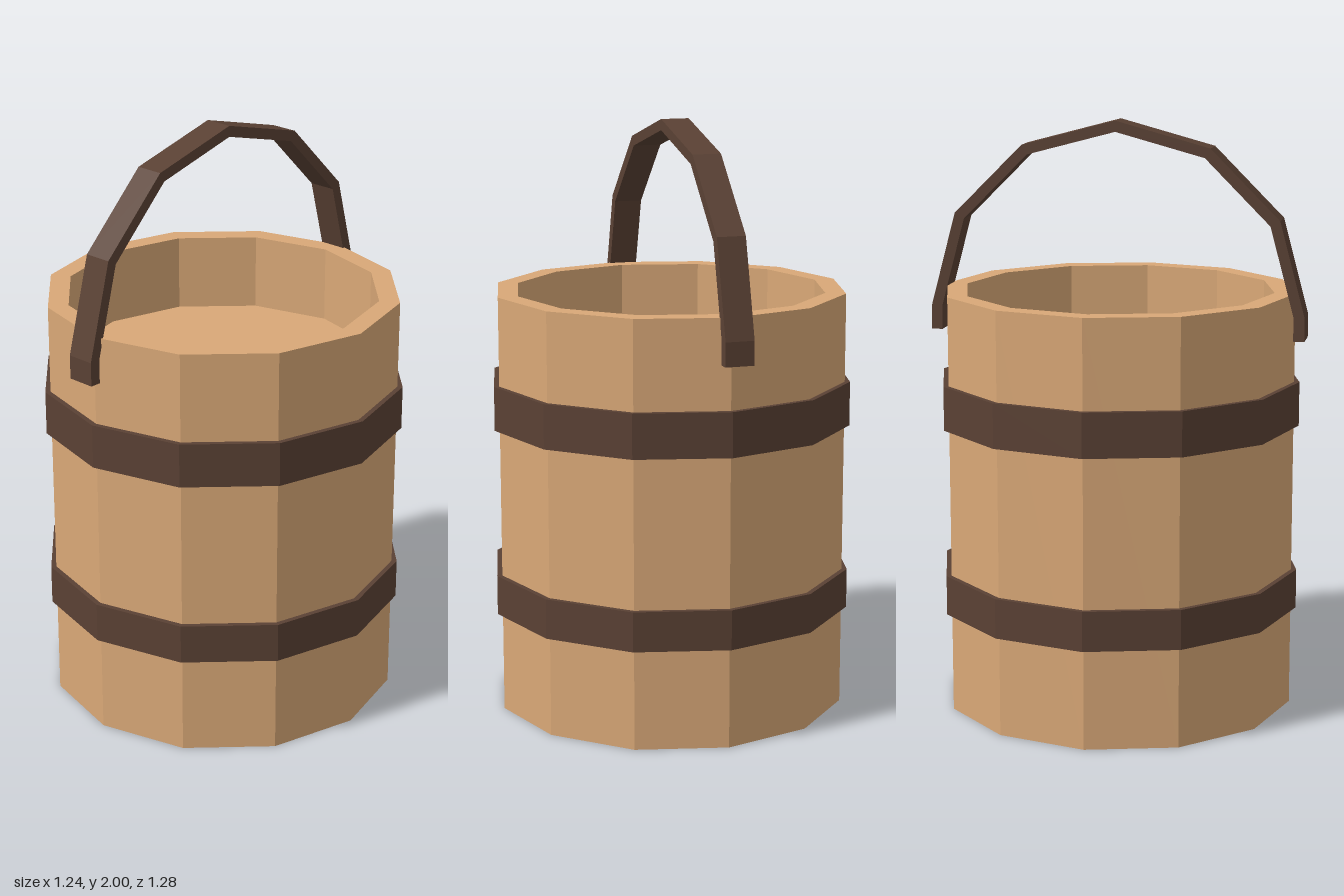
import * as THREE from 'three';

const SIDES = 12;
const wood = new THREE.MeshStandardMaterial({ color: 0xd9a877, flatShading: true });
const darkWood = new THREE.MeshStandardMaterial({ color: 0x5a4134, flatShading: true });

// Faceted solid of revolution from [radius, height] pairs
function turned(name, profile, material) {
  const points = profile.map(([r, y]) => new THREE.Vector2(r, y));
  const mesh = new THREE.Mesh(new THREE.LatheGeometry(points, SIDES), material);
  mesh.name = name;
  return mesh;
}

// Points of a half-circle arch, six straight segments
function archPoints(radius, centreY) {
  return Array.from({ length: 7 }, (_, i) => {
    const a = (i * Math.PI) / 6;
    return new THREE.Vector2(radius * Math.cos(a), centreY + radius * Math.sin(a));
  });
}

export function createModel() {
  const bucket = new THREE.Group();
  bucket.name = 'bucket';

  // Body: outer wall, rim, inner wall and raised inner floor
  bucket.add(turned('body', [
    [0, 0], [0.6, 0], [0.6, 1.43], [0.53, 1.43], [0.53, 1.17], [0, 1.17],
  ], wood));

  // Two hoops around the body
  [['lowerHoop', 0.34, 0.475], ['upperHoop', 0.98, 1.13]].forEach(([name, y0, y1]) => {
    bucket.add(turned(name, [
      [0.59, y0], [0.618, y0], [0.618, y1], [0.59, y1],
    ], darkWood));
  });

  // Handle: flat strap bent into an arch with short straight ends
  const outer = 0.64, inner = 0.603, springY = 1.36, endY = 1.28, width = 0.097;
  const strap = new THREE.Shape([
    new THREE.Vector2(outer, endY),
    ...archPoints(outer, springY),
    new THREE.Vector2(-outer, endY),
    new THREE.Vector2(-inner, endY),
    ...archPoints(inner, springY).reverse(),
    new THREE.Vector2(inner, endY),
  ]);
  const strapGeometry = new THREE.ExtrudeGeometry(strap, { depth: width, bevelEnabled: false });
  strapGeometry.translate(0, 0, -width / 2).rotateY(-Math.PI / 2);
  const handle = new THREE.Mesh(strapGeometry, darkWood);
  handle.name = 'handle';
  handle.position.x = -0.0185;
  handle.rotation.y = -0.0075;
  bucket.add(handle);

  return bucket;
}
